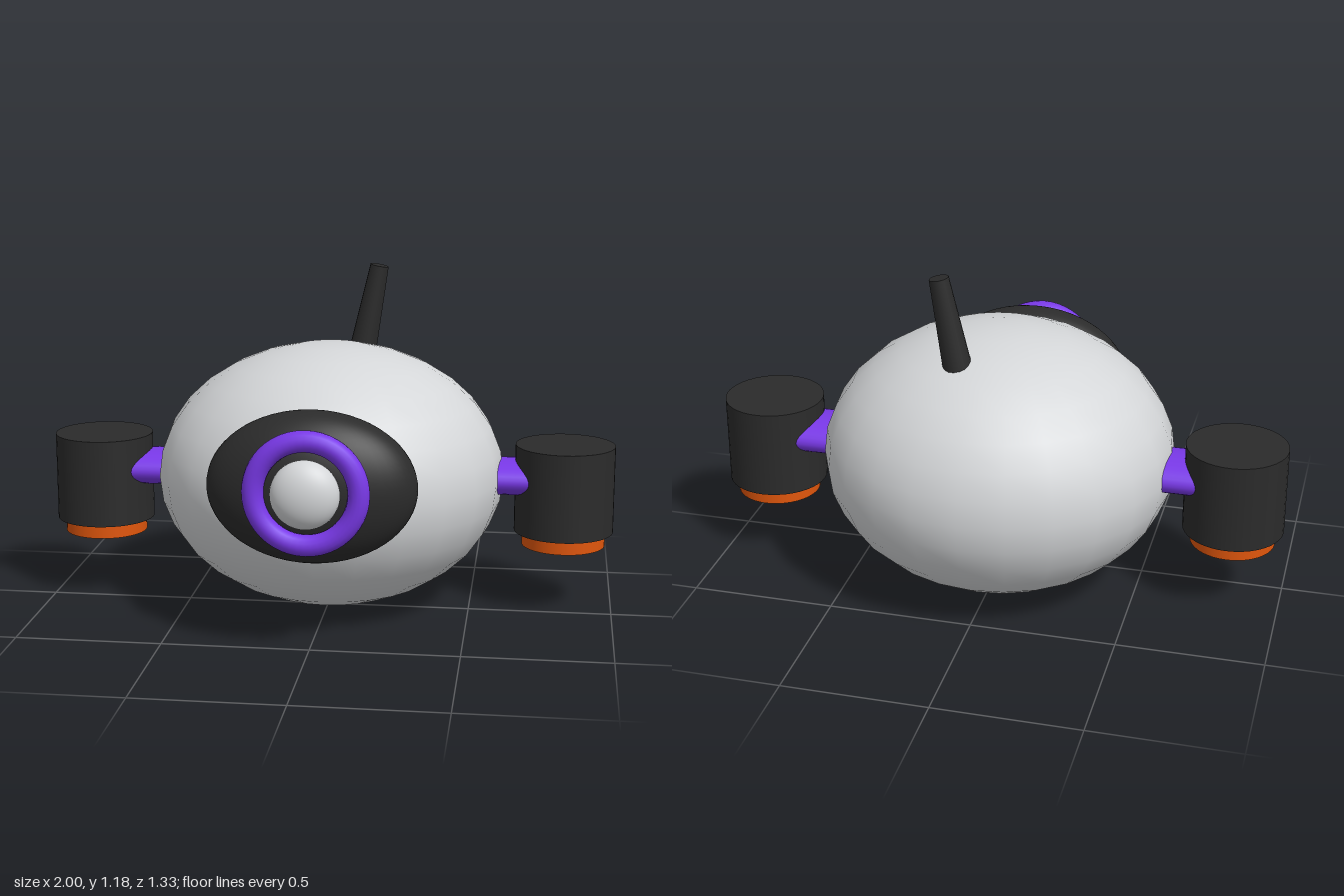
import * as THREE from 'three';

export function createModel() {
  const group = new THREE.Group();
  const mat = (name, color) => {
    const m = new THREE.MeshStandardMaterial({ color });
    m.name = name;
    return m;
  };
  const shell = mat('light grey shell', 0xd4d6d8);
  const dark = mat('charcoal', 0x2b2b2b);
  const purple = mat('purple trim', 0x7c3aed);
  const orange = mat('orange glow', 0xe0560c);

  const add = (name, geometry, material, x, y, z) => {
    const mesh = new THREE.Mesh(geometry, material);
    mesh.name = name;
    mesh.position.set(x, y, z);
    group.add(mesh);
    return mesh;
  };
  const ellipsoid = (rx, ry, rz, w, h) => new THREE.SphereGeometry(1, w, h).scale(rx, ry, rz);

  // Egg-shaped body
  add('body', ellipsoid(0.612, 0.465, 0.577, 24, 16), shell, 0, 0.465, -0.09);

  // Eye: dark socket, purple ring and pale lens
  add('eyeSocket', ellipsoid(0.35, 0.257, 0.16, 48, 32), dark, 0, 0.54, 0.43);
  add('eyeRing', new THREE.TorusGeometry(0.172, 0.036, 16, 48), purple, 0, 0.555, 0.58);
  add('eyeLens', ellipsoid(0.114, 0.114, 0.07, 32, 24), shell, 0, 0.555, 0.597);

  // Leaning antenna, its foot sunk into the body
  const antenna = add('antenna', new THREE.CylinderGeometry(0.033, 0.053, 0.4, 16), dark, 0.109, 0.98, -0.31);
  antenna.rotation.z = -0.19;

  // Thruster pods on flattened arms
  for (const side of [1, -1]) {
    const label = side > 0 ? 'left' : 'right';
    const arm = new THREE.CylinderGeometry(1, 1, 0.3, 32).rotateZ(Math.PI / 2).scale(1, 0.0625, 0.124);
    add(label + 'Arm', arm, purple, side * 0.65, 0.467, -0.095);
    add(label + 'Pod', new THREE.CylinderGeometry(0.174, 0.174, 0.31, 40), dark, side * 0.826, 0.43, -0.093);
    add(label + 'Nozzle', new THREE.CylinderGeometry(0.146, 0.146, 0.08, 40), orange, side * 0.826, 0.265, -0.093);
  }

  return group;
}
